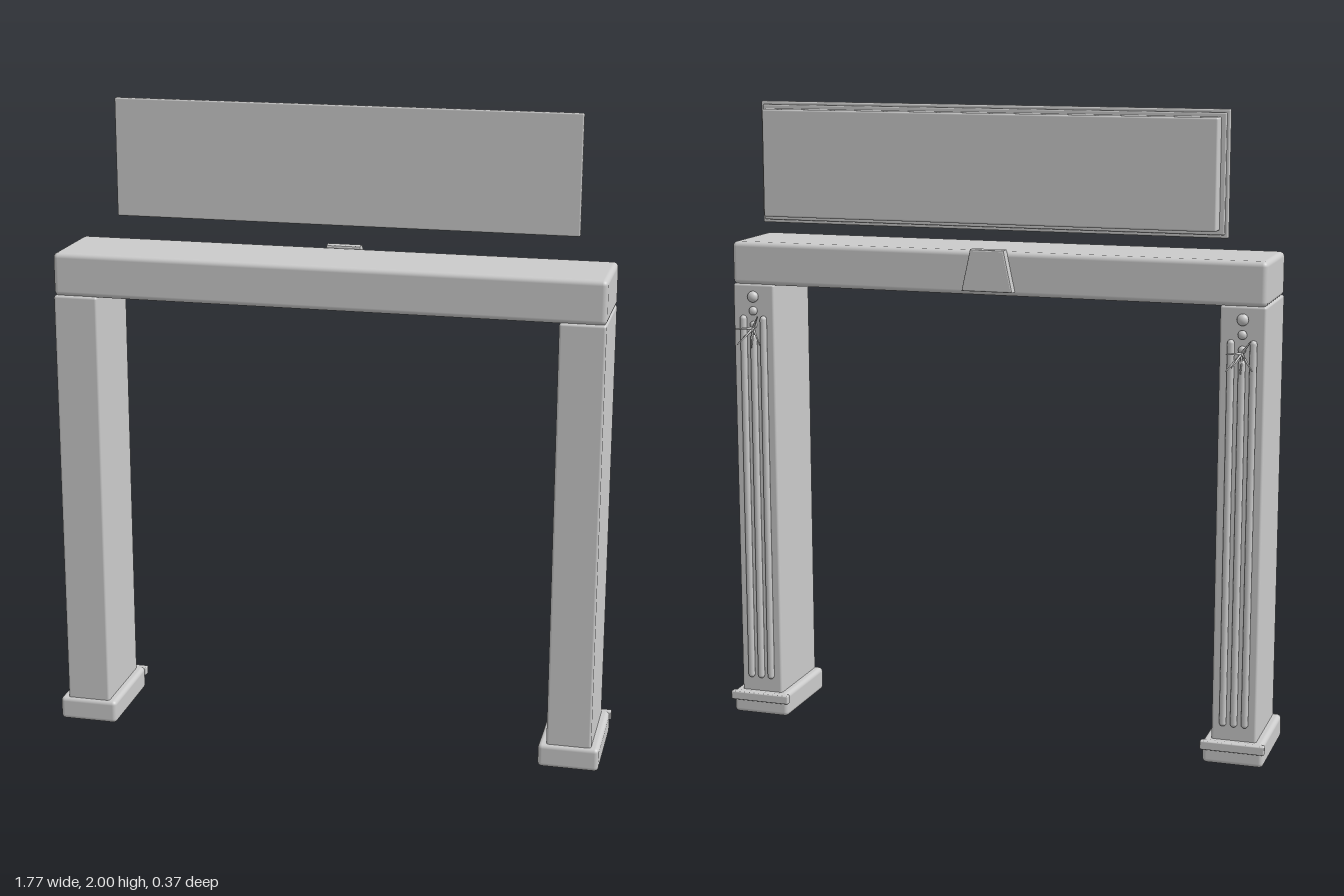
import * as THREE from 'three';
import { RoundedBoxGeometry } from 'three/addons/geometries/RoundedBoxGeometry.js';

const material = new THREE.MeshStandardMaterial({ color: 0xcccccc });

function add(parent, name, geometry, x = 0, y = 0, z = 0) {
  const mesh = new THREE.Mesh(geometry, material);
  mesh.name = name;
  mesh.position.set(x, y, z);
  parent.add(mesh);
  return mesh;
}

// Rounded block given by its extents along each axis
function block(parent, name, [x0, x1], [y0, y1], [z0, z1], radius) {
  const geometry = new RoundedBoxGeometry(x1 - x0, y1 - y0, z1 - z0, 3, radius);
  return add(parent, name, geometry, (x0 + x1) / 2, (y0 + y1) / 2, (z0 + z1) / 2);
}

// Thin spike pointing from one point to another
function spike(parent, name, from, to) {
  const dir = to.clone().sub(from);
  const mid = from.clone().add(to).multiplyScalar(0.5);
  const mesh = add(parent, name, new THREE.CylinderGeometry(0.002, 0.004, dir.length(), 8), mid.x, mid.y, mid.z);
  mesh.quaternion.setFromUnitVectors(new THREE.Vector3(0, 1, 0), dir.normalize());
}

function createPillar(side) {
  const cx = side * 0.785;
  const pillar = new THREE.Group();
  pillar.name = side > 0 ? 'leftPillar' : 'rightPillar';

  block(pillar, 'shaft', [cx - 0.07, cx + 0.07], [0.06, 1.425], [-0.11, 0.175], 0.008);
  block(pillar, 'foot', [cx - 0.095, cx + 0.095], [0.004, 0.08], [-0.125, 0.185], 0.014);
  block(pillar, 'footMoulding', [cx - 0.1, cx + 0.1], [0.05, 0.078], [-0.138, -0.115], 0.004);

  // Three half-round reeds along the decorated face
  for (let i = -1; i <= 1; i++) {
    const height = i === 0 ? 1.14 : 1.2;
    const reed = new THREE.CapsuleGeometry(0.011, height - 0.022, 4, 12);
    add(pillar, 'reed', reed, cx + i * 0.034, 0.125 + height / 2, -0.115);
  }

  // Flower ornament: beads above a spray of stems
  const ornament = new THREE.Group();
  ornament.name = 'ornament';
  ornament.position.set(cx, 0, -0.115);
  pillar.add(ornament);
  for (const [y, r] of [[1.385, 0.018], [1.34, 0.014], [1.295, 0.012]]) {
    const bead = add(ornament, 'bead', new THREE.SphereGeometry(r, 16, 12), 0, y, 0);
    bead.scale.z = 0.8;
  }
  const tips = [
    [-0.035, 1.33, -0.045], [0.035, 1.29, -0.06], [-0.02, 1.28, -0.06], [0.02, 1.25, -0.055],
    [-0.04, 1.24, -0.045], [0.04, 1.235, -0.04], [0, 1.225, -0.02],
  ];
  for (const [x, y, z] of tips) {
    spike(ornament, 'stem', new THREE.Vector3(0, 1.285, -0.003), new THREE.Vector3(x, y, z));
  }
  return pillar;
}

export function createModel() {
  const group = new THREE.Group();
  group.name = 'mantelpiece';

  group.add(createPillar(1), createPillar(-1));
  block(group, 'lintel', [-0.855, 0.855], [1.422, 1.558], [-0.112, 0.172], 0.016);

  // Tapered centre block on the lintel, wider at the bottom
  const shape = new THREE.Shape([
    new THREE.Vector2(-0.076, 1.441), new THREE.Vector2(0.076, 1.441),
    new THREE.Vector2(0.05, 1.56), new THREE.Vector2(-0.05, 1.56),
  ]);
  const keystone = new THREE.ExtrudeGeometry(shape, {
    depth: 0.025, bevelThickness: 0.005, bevelSize: 0.005, bevelSegments: 2,
  });
  add(group, 'keystone', keystone, 0, 0, -0.135);

  // Panel floating above: thin backboard, edge lip and raised face
  const panel = new THREE.Group();
  panel.name = 'upperPanel';
  group.add(panel);
  block(panel, 'backboard', [-0.74, 0.735], [1.625, 2.0], [-0.132, -0.118], 0.005);
  block(panel, 'lip', [-0.73, 0.725], [1.635, 1.99], [-0.141, -0.128], 0.004);
  block(panel, 'raisedFace', [-0.715, 0.71], [1.648, 1.978], [-0.185, -0.135], 0.006);

  return group;
}
